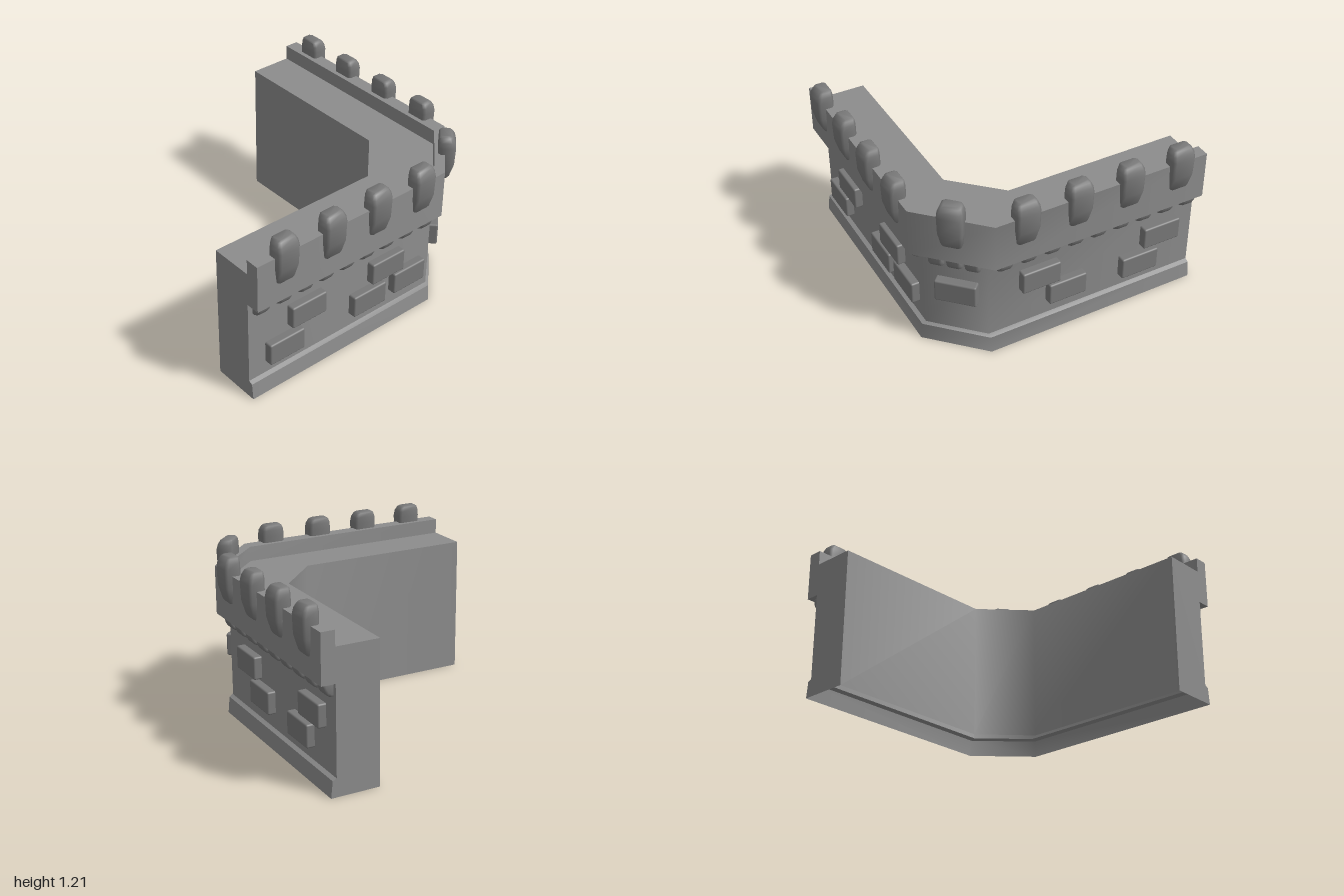
import * as THREE from 'three';
import { mergeVertices, toCreasedNormals } from 'three/addons/utils/BufferGeometryUtils.js';
import { RoundedBoxGeometry } from 'three/addons/geometries/RoundedBoxGeometry.js';

const wallMaterial = new THREE.MeshStandardMaterial({ color: 0x8c8c8c, side: THREE.DoubleSide });
const stoneMaterial = new THREE.MeshStandardMaterial({ color: 0x787878 });
const WALL = 0.853, PARAPET = 0.95, BEND = 0.55;

function fromTriangles(points, index, crease) {
  const geo = new THREE.BufferGeometry();
  geo.setAttribute('position', new THREE.Float32BufferAttribute(points.flat(), 3));
  geo.setIndex(index);
  return toCreasedNormals(geo, crease);
}

// Wall cross-section (distance, height) swept round the chamfered corner, open underneath
function wallGeometry() {
  const profile = [
    [0.893, 0], [0.881, 0.115], [WALL, 0.128], [WALL, 0.745], [PARAPET, 0.745],
    [PARAPET, 1.085], [WALL, 1.085], [WALL, 0.98], [0.55, 0.98], [0.55, 0],
  ];
  const n = profile.length, points = [], index = [];
  const stations = [
    d => [-1, d],
    d => [d > 0.6 ? BEND : 0.25, d],
    d => [d, d > 0.6 ? BEND : 0.24],
    d => [d, -1],
  ];
  for (const station of stations) {
    for (const [d, y] of profile) {
      const [x, z] = station(d);
      points.push([x, y, z]);
    }
  }
  for (let j = 0; j < 3; j++) {
    for (let i = 0; i < n - 1; i++) {
      const a = j * n + i, b = a + n;
      index.push(a, b, b + 1, a, b + 1, a + 1);
    }
  }
  // end caps
  const outline = profile.map(([d, y]) => new THREE.Vector2(d, y));
  for (const [a, b, c] of THREE.ShapeUtils.triangulateShape(outline, [])) {
    index.push(a, b, c, 3 * n + a, 3 * n + c, 3 * n + b);
  }
  return fromTriangles(points, index, 0.84);
}

// Merlon: chamfered rectangles stacked into a tapered block, local z = 0 on the parapet face
function merlonGeometry() {
  // height, half width, back, front, corner chamfer
  const rings = [
    [0.888, 0.06, -0.06, 0.008, 0.012],
    [0.905, 0.069, -0.065, 0.018, 0.014],
    [1.0, 0.08, -0.065, 0.045, 0.016],
    [1.13, 0.083, -0.065, 0.05, 0.018],
    [1.17, 0.08, -0.065, 0.04, 0.018],
    [1.2, 0.068, -0.063, 0.023, 0.016],
    [1.21, 0.055, -0.055, 0.008, 0.012],
  ];
  const points = [], index = [], m = 8;
  for (const [y, w, b, f, c] of rings) {
    for (const [x, z] of [
      [-w + c, f], [w - c, f], [w, f - c], [w, b + c],
      [w - c, b], [-w + c, b], [-w, b + c], [-w, f - c],
    ]) points.push([x, y, z]);
  }
  for (let r = 0; r < rings.length - 1; r++) {
    for (let i = 0; i < m; i++) {
      const a = r * m + i, b = r * m + (i + 1) % m;
      index.push(a, b, b + m, a, b + m, a + m);
    }
  }
  const top = (rings.length - 1) * m;
  for (let i = 1; i < m - 1; i++) {
    index.push(top, top + i, top + i + 1, 0, i + 1, i);
  }
  return fromTriangles(points, index, 0.9);
}

// Corbel: rounded bracket under the parapet, local z = 0 on the wall face
function corbelGeometry() {
  const s = new THREE.Shape();
  s.moveTo(-0.015, 0.73);
  s.lineTo(-0.015, 0.667);
  s.lineTo(0.012, 0.667);
  s.quadraticCurveTo(0.045, 0.68, 0.053, 0.73);
  const bevel = 0.018, width = 0.096;
  const geo = new THREE.ExtrudeGeometry(s, {
    depth: width - 2 * bevel, curveSegments: 5,
    bevelSize: bevel, bevelThickness: bevel, bevelSegments: 2,
  });
  geo.translate(0, 0, bevel - width / 2).rotateY(-Math.PI / 2);
  geo.deleteAttribute('uv');
  geo.deleteAttribute('normal');
  return toCreasedNormals(mergeVertices(geo), 0.8);
}

export function createModel() {
  const model = new THREE.Group();
  model.name = 'castleCornerWall';

  const wall = new THREE.Mesh(wallGeometry(), wallMaterial);
  wall.name = 'wall';
  model.add(wall);

  // Puts a stone on the front, side or corner face at a distance along that face
  function place(name, geo, face, along, dist, y = 0) {
    const mesh = new THREE.Mesh(geo, stoneMaterial);
    mesh.name = name;
    if (face === 'front') {
      mesh.position.set(along, y, dist);
    } else if (face === 'side') {
      mesh.position.set(dist, y, along);
      mesh.rotation.y = Math.PI / 2;
    } else {
      const c = (dist + BEND) / 2, o = along * Math.SQRT1_2;
      mesh.position.set(c + o, y, c - o);
      mesh.rotation.y = Math.PI / 4;
    }
    model.add(mesh);
  }

  // Merlons
  const merlon = merlonGeometry();
  for (let i = 0; i < 4; i++) {
    const t = 0.346 - i * 0.377;
    place('frontMerlon', merlon, 'front', t, PARAPET);
    place('sideMerlon', merlon, 'side', t - 0.01, PARAPET);
  }
  place('cornerMerlon', merlon, 'corner', 0.006, PARAPET + 0.03);

  // Corbels
  const corbel = corbelGeometry();
  for (let i = 0; i < 9; i++) {
    const t = 0.459 - i * 0.172;
    place('frontCorbel', corbel, 'front', t, WALL);
    place('sideCorbel', corbel, 'side', t - 0.008, WALL);
  }
  for (const t of [-0.12, 0, 0.12]) place('cornerCorbel', corbel, 'corner', t, WALL - 0.012);

  // Raised bricks
  const brick = new RoundedBoxGeometry(0.28, 0.16, 0.075, 2, 0.012);
  brick.translate(0, 0, 0.02);
  const frontBricks = [[-0.548, 0.498], [-0.728, 0.295], [0.13, 0.498], [-0.025, 0.307], [0.33, 0.322]];
  const sideBricks = [[0.188, 0.495], [-0.012, 0.317], [-0.732, 0.495], [-0.572, 0.3]];
  for (const [t, y] of frontBricks) place('frontBrick', brick, 'front', t, WALL, y);
  for (const [t, y] of sideBricks) place('sideBrick', brick, 'side', t, WALL, y);
  place('cornerBrick', brick, 'corner', 0.01, WALL + 0.005, 0.472);

  return model;
}
